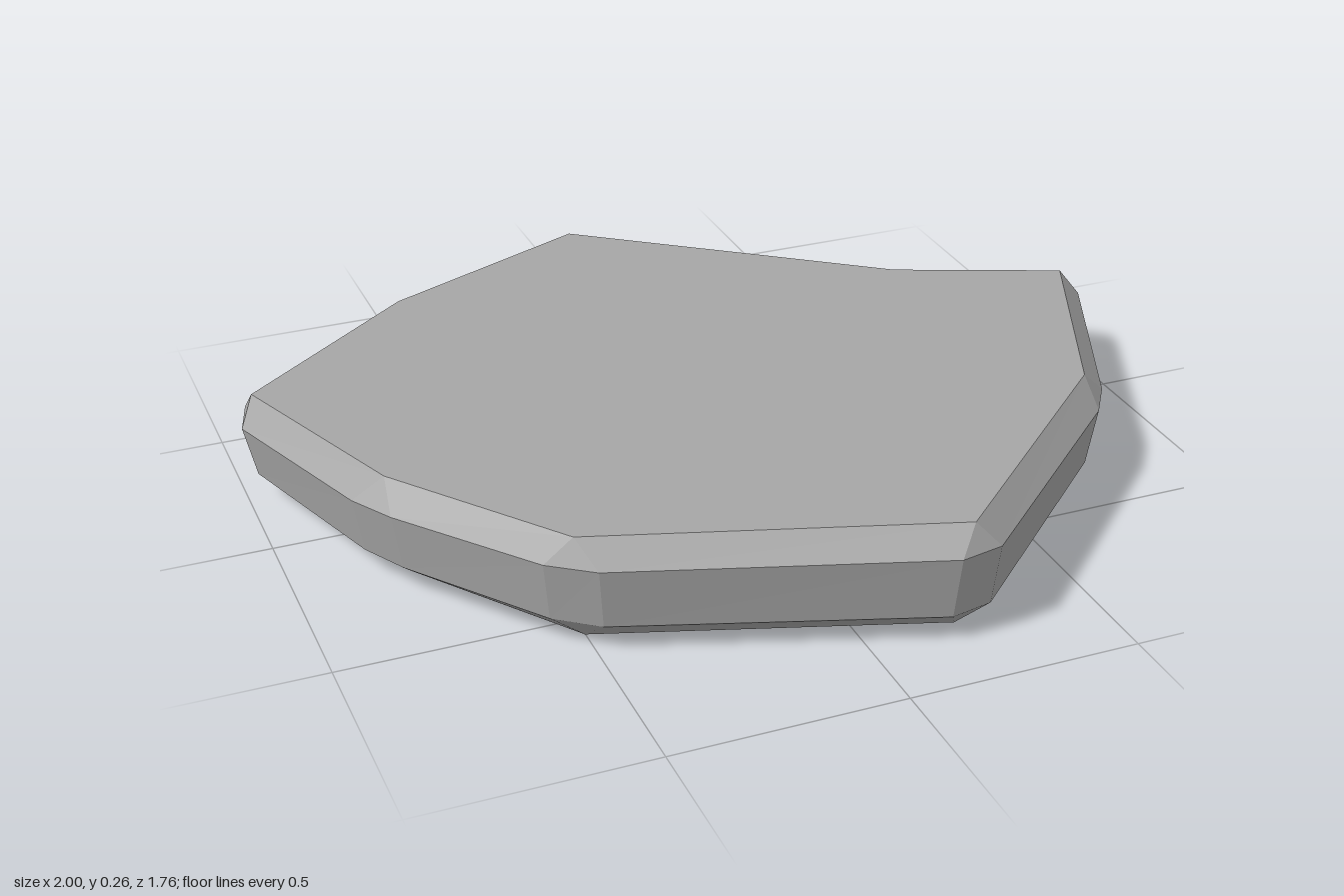
import * as THREE from 'three';

// Each corner: top point, then the two points of its bevelled edge, as [x, z]
const CORNERS = [
  [[-0.04, -0.85], [-0.09, -0.885], [0.01, -0.87]],
  [[0.6, -0.33], [0.58, -0.41], [0.67, -0.35]],
  [[0.96, -0.17], [0.965, -0.225], [1.0, -0.145]],
  [[0.73, 0.35], [0.79, 0.33], [0.73, 0.42]],
  [[0.21, 0.84], [0.26, 0.86], [0.165, 0.88]],
  [[-0.53, 0.59], [-0.5, 0.65], [-0.59, 0.58]],
  [[-0.8, 0.205], [-0.81, 0.28], [-0.865, 0.18]],
  [[-0.965, -0.27], [-1.0, -0.225], [-0.97, -0.33]],
  [[-0.54, -0.62], [-0.61, -0.63], [-0.52, -0.68]],
];

function createSlabGeometry() {
  const positions = [];
  const tri = (a, b, c) => positions.push(...a, ...b, ...c);
  const quad = (a, b, c, d) => { tri(a, b, c); tri(a, c, d); };
  const place = ([x, z], scale, y) => [x * scale, y, z * scale];

  // Four levels: sloping top, upper edge, lower edge, flat base
  const top = CORNERS.map(([p]) => place(p, 1, 0.235 + 0.025 * p[1]));
  const rim = CORNERS.flatMap(([, a, b]) => [a, b]);
  const upper = rim.map((p) => place(p, 1, 0.179 + 0.026 * p[1]));
  const lower = rim.map((p) => place(p, 0.975, 0.06));
  const base = CORNERS.map(([p]) => place(p, 0.945, 0));

  const n = CORNERS.length;
  for (let i = 0; i < n; i++) {
    const j = (i + 1) % n;
    const a = 2 * i, b = a + 1, next = 2 * j;
    // Corner facets and bevels above and below
    tri(top[i], upper[b], upper[a]);
    quad(top[i], top[j], upper[next], upper[b]);
    tri(base[i], lower[a], lower[b]);
    quad(base[i], lower[b], lower[next], base[j]);
    // Side walls
    quad(upper[a], upper[b], lower[b], lower[a]);
    quad(upper[b], upper[next], lower[next], lower[b]);
  }

  // Top and bottom faces
  const outline = CORNERS.map(([p]) => new THREE.Vector2(p[0], p[1]));
  for (const [a, b, c] of THREE.ShapeUtils.triangulateShape(outline, [])) {
    const p = outline[a], q = outline[b], r = outline[c];
    const turn = (q.x - p.x) * (r.y - p.y) - (q.y - p.y) * (r.x - p.x);
    const [s, t] = turn > 0 ? [c, b] : [b, c];
    tri(top[a], top[s], top[t]);
    tri(base[a], base[t], base[s]);
  }

  const geometry = new THREE.BufferGeometry();
  geometry.setAttribute('position', new THREE.Float32BufferAttribute(positions, 3));
  geometry.computeVertexNormals();
  return geometry;
}

export function createModel() {
  const stone = new THREE.MeshStandardMaterial({ color: 0xa6a6a6, flatShading: true });
  stone.name = 'grey stone';
  const slab = new THREE.Mesh(createSlabGeometry(), stone);
  slab.name = 'stoneSlab';
  const group = new THREE.Group();
  group.name = 'flatStone';
  group.add(slab);
  return group;
}
